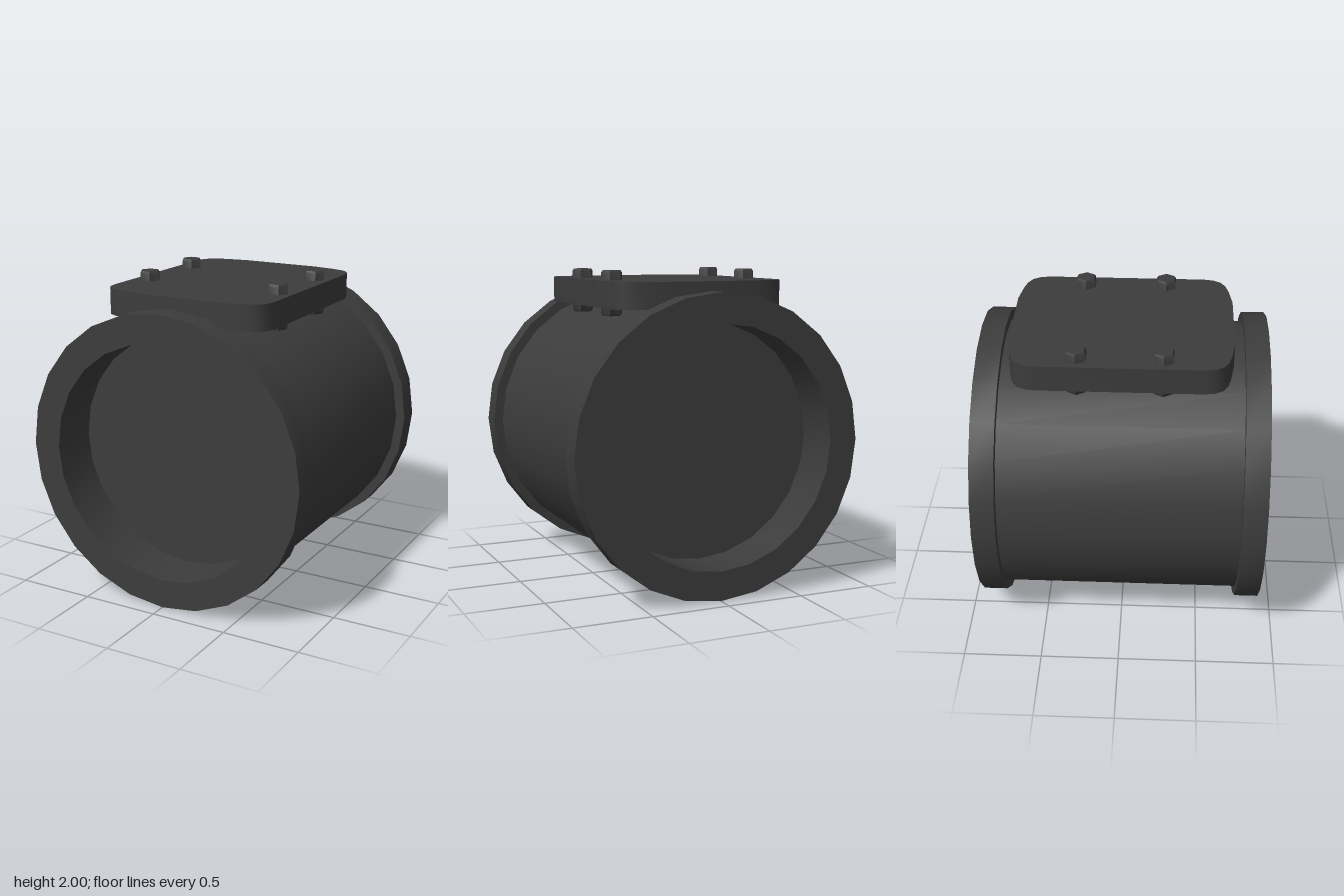
import * as THREE from 'three';
import { toCreasedNormals } from 'three/addons/utils/BufferGeometryUtils.js';

const AXIS_Y = 0.944;
const SIDES = 24;

export function createModel() {
  const group = new THREE.Group();
  const material = new THREE.MeshStandardMaterial({ color: 0x3c3c3c });

  const add = (name, geometry, x = 0, y = 0, z = 0) => {
    const mesh = new THREE.Mesh(geometry, material);
    mesh.name = name;
    mesh.position.set(x, y, z);
    group.add(mesh);
    return mesh;
  };

  // Turned part: profile of [radius, height], hard edges kept sharp
  const turned = (profile, sides) => toCreasedNormals(
    new THREE.LatheGeometry(profile.map(([r, h]) => new THREE.Vector2(r, h)), sides), 0.6);

  // Drum barrel, lying along z
  add('barrel', turned([[0.88, -0.745], [0.88, 0.745]], SIDES).rotateX(Math.PI / 2), 0, AXIS_Y, 0);

  // End flange with a deep recess closed by a flat wall, one at each end
  const flange = turned([
    [0.88, 0.745], [0.94, 0.745], [0.94, 0.895],
    [0.755, 0.895], [0.755, 0.575], [0, 0.575],
  ], SIDES).rotateX(Math.PI / 2);
  add('frontFlange', flange, 0, AXIS_Y, 0);
  add('backFlange', flange, 0, AXIS_Y, 0).rotation.y = Math.PI;

  // Top plate with soft corners and slightly tapered ends
  const corner = [[0.565, 0.5], [0.555, 0.565], [0.525, 0.615], [0.475, 0.645], [0.4, 0.664], [0.26, 0.685]];
  const mirrored = (sx, sz) => corner.map(([x, z]) => new THREE.Vector2(x * sx, z * sz));
  const outline = [
    ...mirrored(1, 1), ...mirrored(-1, 1).reverse(),
    ...mirrored(-1, -1), ...mirrored(1, -1).reverse(),
  ];
  const plate = new THREE.ExtrudeGeometry(new THREE.Shape(outline), { depth: 0.165, bevelEnabled: false });
  plate.rotateX(-Math.PI / 2);
  add('topPlate', toCreasedNormals(plate, 0.6), 0, 1.775, -0.01);

  // Four hex bolts through the plate: chamfered head above, nut end below
  const bolt = turned([
    [0, 1.72], [0.06, 1.72], [0.07, 1.735], [0.07, 1.985], [0.06, 2], [0, 2],
  ], 6).rotateY(Math.PI / 6);
  for (const x of [-0.46, 0.46]) {
    for (const z of [-0.27, 0.25]) add('plateBolt', bolt, x, 0, z);
  }

  return group;
}
